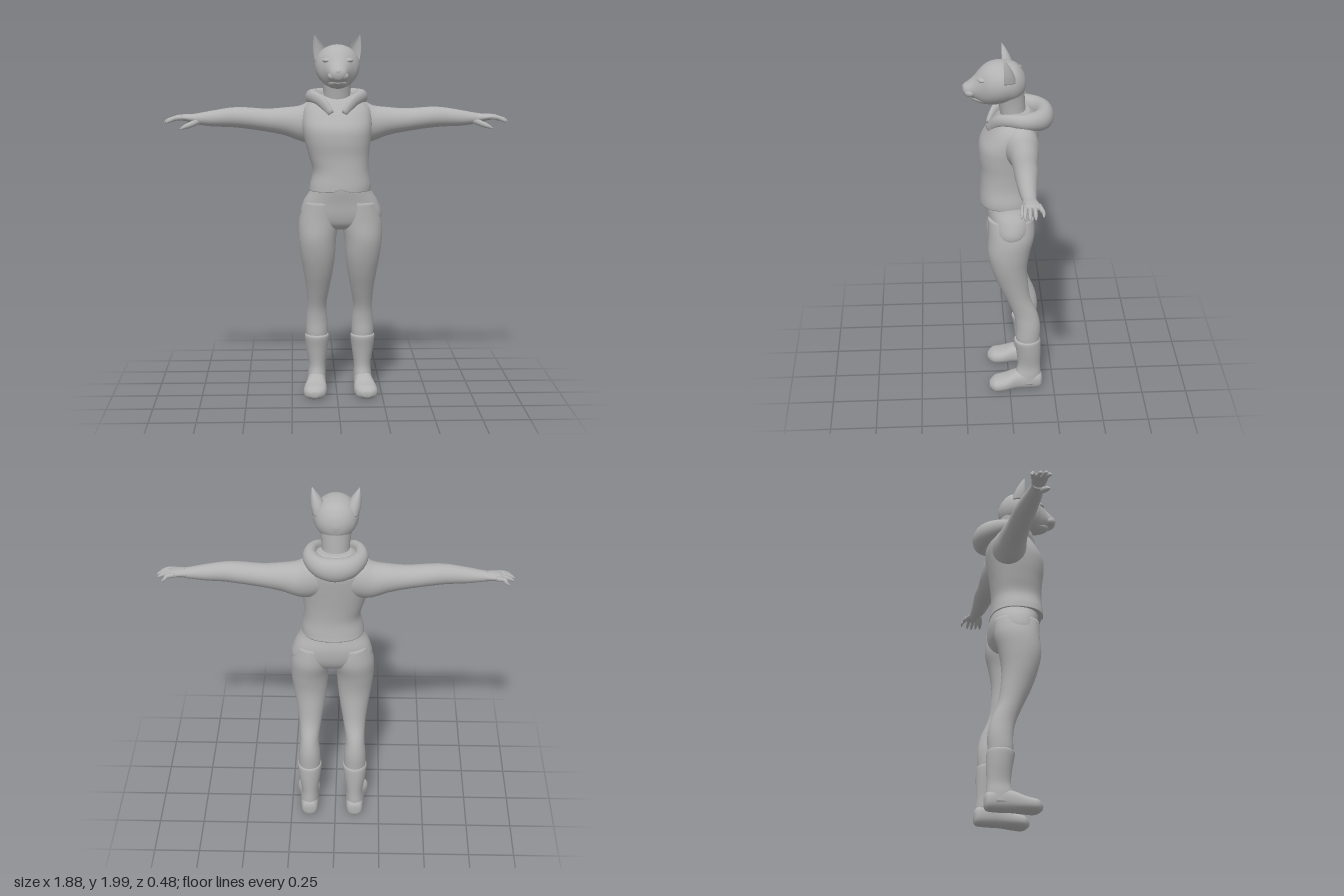
import * as THREE from 'three';

const grey = new THREE.MeshStandardMaterial({ color: 0xb2b2b2 });
grey.name = 'plain grey';

// Smooth interpolation through rows of numbers
function sample(rows, t) {
  const i = Math.min(Math.floor(t), rows.length - 2), f = t - i;
  const at = k => rows[Math.max(0, Math.min(rows.length - 1, k))];
  const [a, b, c, d] = [at(i - 1), at(i), at(i + 1), at(i + 2)];
  return b.map((v, k) => v + 0.5 * f * (c[k] - a[k] + f * (2 * a[k] - 5 * v + 4 * c[k] - d[k] + f * (3 * (v - c[k]) + d[k] - a[k]))));
}

// Skin over elliptical sections [x, y, z, radiusU, radiusV]; axis fixes the section plane,
// otherwise sections follow the path. square < 1 gives boxier sections, dent hollows the front.
function loft(name, rows, { axis = null, sides = 28, steps = 5, square = 1, dent = 1, rule = null } = {}) {
  const n = (rows.length - 1) * steps, pos = [], index = [];
  const rings = Array.from({ length: n + 1 }, (_, i) => sample(rows, i / steps));
  const centre = r => new THREE.Vector3(r[0], r[1], r[2]);
  const span = centre(rings[n]).sub(centre(rings[0]));
  const pow = v => Math.sign(v) * Math.abs(v) ** square;
  rings.forEach((r, i) => {
    const T = new THREE.Vector3();
    if (axis) T[axis] = Math.sign(span[axis]);
    else T.copy(centre(rings[Math.min(n, i + 1)])).sub(centre(rings[Math.max(0, i - 1)])).normalize();
    const up = Math.abs(T.y) > 0.95 ? new THREE.Vector3(0, 0, 1) : new THREE.Vector3(0, 1, 0);
    const U = up.cross(T).normalize(), V = T.clone().cross(U);
    for (let j = 0; j < sides; j++) {
      const a = j / sides * Math.PI * 2, s = Math.sin(a);
      const p = centre(r).addScaledVector(U, Math.max(r[3], 0.001) * pow(Math.cos(a)))
        .addScaledVector(V, Math.max(r[4], 0.001) * pow(s) * (s > 0 ? dent : 1));
      if (rule) rule(p);
      pos.push(p.x, p.y, p.z);
    }
  });
  for (let i = 0; i < n; i++) for (let j = 0; j < sides; j++) {
    const a = i * sides + j, b = i * sides + (j + 1) % sides;
    index.push(a, b, a + sides, b, b + sides, a + sides);
  }
  // End caps
  const first = pos.length / 3;
  [rings[0], rings[n]].forEach(r => pos.push(r[0], r[1], r[2]));
  for (let j = 0; j < sides; j++) {
    const k = (j + 1) % sides;
    index.push(first, k, j, first + 1, n * sides + j, n * sides + k);
  }
  const g = new THREE.BufferGeometry();
  g.setAttribute('position', new THREE.Float32BufferAttribute(pos, 3));
  g.setIndex(index);
  g.computeVertexNormals();
  const mesh = new THREE.Mesh(g, grey);
  mesh.name = name;
  return mesh;
}

function ball(name, x, y, z, rx, ry, rz) {
  const m = new THREE.Mesh(new THREE.SphereGeometry(1, 20, 14), grey);
  m.name = name;
  m.position.set(x, y, z);
  m.scale.set(rx, ry, rz);
  return m;
}

export function createModel() {
  const model = new THREE.Group();
  model.name = 'catPerson';
  const add = (...parts) => model.add(...parts);

  // Jacket body, with a small notch at the front of the hem
  add(loft('jacket', [
    [0.015, 1.165, 0.012, 0.168, 0.145], [0.018, 1.2, 0.014, 0.165, 0.142], [0.02, 1.27, 0.014, 0.152, 0.137],
    [0.01, 1.35, 0.01, 0.163, 0.14], [0.003, 1.43, 0.008, 0.178, 0.15], [0, 1.5, 0, 0.188, 0.153],
    [0, 1.56, -0.02, 0.188, 0.14], [0, 1.61, -0.035, 0.175, 0.12], [0, 1.65, -0.045, 0.135, 0.095], [0, 1.68, -0.05, 0.08, 0.06],
  ], {
    axis: 'y', square: 0.85, sides: 40,
    rule: p => { if (p.y < 1.19 && p.z > 0) p.y += 0.02 * Math.exp(-(((p.x - 0.02) / 0.025) ** 2)) * (1.19 - p.y) / 0.025; },
  }));

  // Hips
  add(loft('hips', [
    [0.02, 1.22, 0.01, 0.145, 0.125], [0.02, 1.16, 0, 0.168, 0.13], [0.02, 1.1, -0.01, 0.203, 0.13],
    [0.022, 1.03, -0.01, 0.222, 0.122], [0.022, 0.98, -0.005, 0.2, 0.1], [0.022, 0.95, 0, 0.13, 0.06],
  ], { axis: 'y', square: 0.9, sides: 36 }));

  // Neck and rolled hood around it
  add(loft('neck', [
    [0, 1.58, -0.04, 0.08, 0.07], [0, 1.66, -0.025, 0.073, 0.068], [0, 1.74, -0.015, 0.078, 0.072], [0, 1.8, -0.005, 0.09, 0.078],
  ], { axis: 'y' }));
  const hoodSide = [[0.035, 1.585, 0.105, 0.012, 0.02], [0.085, 1.645, 0.06, 0.02, 0.032], [0.125, 1.665, -0.01, 0.028, 0.036],
    [0.13, 1.66, -0.09, 0.04, 0.045], [0.08, 1.648, -0.165, 0.048, 0.058]];
  const flip = (rows, mid) => rows.map(([x, ...rest]) => [2 * mid - x, ...rest]);
  add(loft('hood', [...hoodSide, [0, 1.642, -0.19, 0.05, 0.066], ...flip(hoodSide, 0).reverse()], { sides: 20 }));

  // Head: skull running into the muzzle, jaw, nose
  add(loft('head', [
    [0, 1.83, -0.093, 0.01, 0.01], [0, 1.83, -0.08, 0.055, 0.055], [0, 1.835, -0.045, 0.095, 0.095],
    [0, 1.838, 0, 0.114, 0.108], [0, 1.835, 0.05, 0.12, 0.115], [0, 1.828, 0.1, 0.107, 0.112],
    [0, 1.818, 0.14, 0.08, 0.095], [0, 1.807, 0.178, 0.057, 0.06], [0, 1.799, 0.21, 0.046, 0.04],
    [0, 1.798, 0.23, 0.032, 0.028], [0, 1.8, 0.238, 0.012, 0.01],
  ], { axis: 'z', sides: 36 }));
  add(loft('jaw', [
    [0, 1.76, 0.06, 0.07, 0.045], [0, 1.752, 0.12, 0.06, 0.034], [0, 1.752, 0.17, 0.04, 0.022], [0, 1.758, 0.198, 0.015, 0.01],
  ], { axis: 'z' }));
  add(ball('nose', 0, 1.812, 0.225, 0.02, 0.014, 0.014));

  for (const s of [1, -1]) {
    const side = s > 0 ? 'left' : 'right';
    const arm = rows => s > 0 ? rows : flip(rows, 0);
    const leg = rows => s > 0 ? rows : flip(rows, 0.018);

    // Ear with hollow front, brow and whisker pad
    add(loft(side + 'Ear', arm([
      [0.088, 1.865, 0.015, 0.034, 0.05], [0.092, 1.905, 0.018, 0.037, 0.045], [0.103, 1.945, 0.022, 0.027, 0.032],
      [0.114, 1.978, 0.026, 0.013, 0.016], [0.121, 2.0, 0.03, 0.002, 0.002],
    ]), { axis: 'y', dent: 1, rule: p => { if (p.z > 0.03) p.z = 0.03 - (p.z - 0.03) * 0.4; } }));
    add(ball(side + 'Brow', s * 0.05, 1.868, 0.135, 0.032, 0.014, 0.026));
    add(ball(side + 'WhiskerPad', s * 0.026, 1.788, 0.198, 0.03, 0.024, 0.03));

    // Sleeve and wrist, then palm
    add(loft(side + 'Arm', arm([
      [0.06, 1.54, -0.055, 0.09, 0.11], [0.14, 1.53, -0.06, 0.092, 0.115], [0.2, 1.52, -0.065, 0.085, 0.097],
      [0.28, 1.53, -0.068, 0.073, 0.077], [0.38, 1.537, -0.066, 0.064, 0.063], [0.5, 1.55, -0.064, 0.06, 0.058],
      [0.58, 1.553, -0.061, 0.053, 0.053], [0.68, 1.547, -0.06, 0.044, 0.043], [0.75, 1.545, -0.062, 0.036, 0.032], [0.79, 1.545, -0.064, 0.032, 0.026],
    ]), { axis: 'x' }));
    add(loft(side + 'Palm', arm([
      [0.75, 1.545, -0.062, 0.03, 0.026], [0.79, 1.548, -0.064, 0.036, 0.023], [0.83, 1.552, -0.068, 0.042, 0.018],
      [0.86, 1.552, -0.07, 0.042, 0.014], [0.87, 1.55, -0.07, 0.03, 0.008],
    ]), { axis: 'x' }));

    // Fingers and thumb: z at the knuckle, z at the tip, reach
    [[-0.04, -0.032, 0.925], [-0.06, -0.056, 0.937], [-0.082, -0.083, 0.93], [-0.104, -0.122, 0.905]].forEach(([z0, z1, tip], i) =>
      add(loft(side + 'Finger' + (i + 1), arm([
        [0.835, 1.552, z0, 0.012, 0.013], [0.875, 1.55, (z0 + z1) / 2, 0.011, 0.012],
        [tip - 0.018, 1.537, z1, 0.009, 0.01], [tip, 1.525, z1, 0.003, 0.003],
      ]), { sides: 12, steps: 4 })));
    add(loft(side + 'Thumb', arm([
      [0.75, 1.535, -0.045, 0.018, 0.018], [0.79, 1.517, -0.033, 0.016, 0.016], [0.825, 1.504, -0.024, 0.012, 0.012], [0.85, 1.492, -0.02, 0.003, 0.003],
    ]), { sides: 12, steps: 4 }));

    // Trouser leg
    add(loft(side + 'Leg', leg([
      [0.125, 1.1, -0.008, 0.088, 0.122], [0.133, 1.0, -0.01, 0.11, 0.125], [0.143, 0.9, 0.004, 0.103, 0.115],
      [0.141, 0.8, 0.002, 0.094, 0.098], [0.139, 0.7, -0.018, 0.079, 0.083], [0.141, 0.6, -0.048, 0.063, 0.068],
      [0.146, 0.5, -0.088, 0.053, 0.067], [0.146, 0.42, -0.103, 0.059, 0.068], [0.146, 0.34, -0.102, 0.061, 0.067], [0.146, 0.28, -0.105, 0.05, 0.06],
    ]), { axis: 'y' }));

    // Boot shaft and foot
    add(loft(side + 'BootShaft', leg([
      [0.146, 0.335, -0.1, 0.062, 0.068], [0.146, 0.32, -0.1, 0.068, 0.075], [0.146, 0.25, -0.107, 0.06, 0.069],
      [0.145, 0.16, -0.11, 0.047, 0.064], [0.147, 0.1, -0.104, 0.05, 0.073], [0.15, 0.045, -0.1, 0.05, 0.075],
    ]), { axis: 'y' }));
    add(loft(side + 'Foot', leg([
      [0.147, 0.055, -0.187, 0.012, 0.02], [0.147, 0.056, -0.172, 0.042, 0.048], [0.147, 0.064, -0.11, 0.051, 0.06],
      [0.151, 0.062, -0.04, 0.053, 0.056], [0.157, 0.047, 0.03, 0.064, 0.043], [0.161, 0.041, 0.085, 0.058, 0.037], [0.162, 0.038, 0.115, 0.022, 0.015],
    ]), { axis: 'z', square: 0.85, rule: p => { p.y = Math.max(p.y, 0.008); } }));
  }
  model.children.forEach(m => { m.position.y -= 0.0; });
  return model;
}
